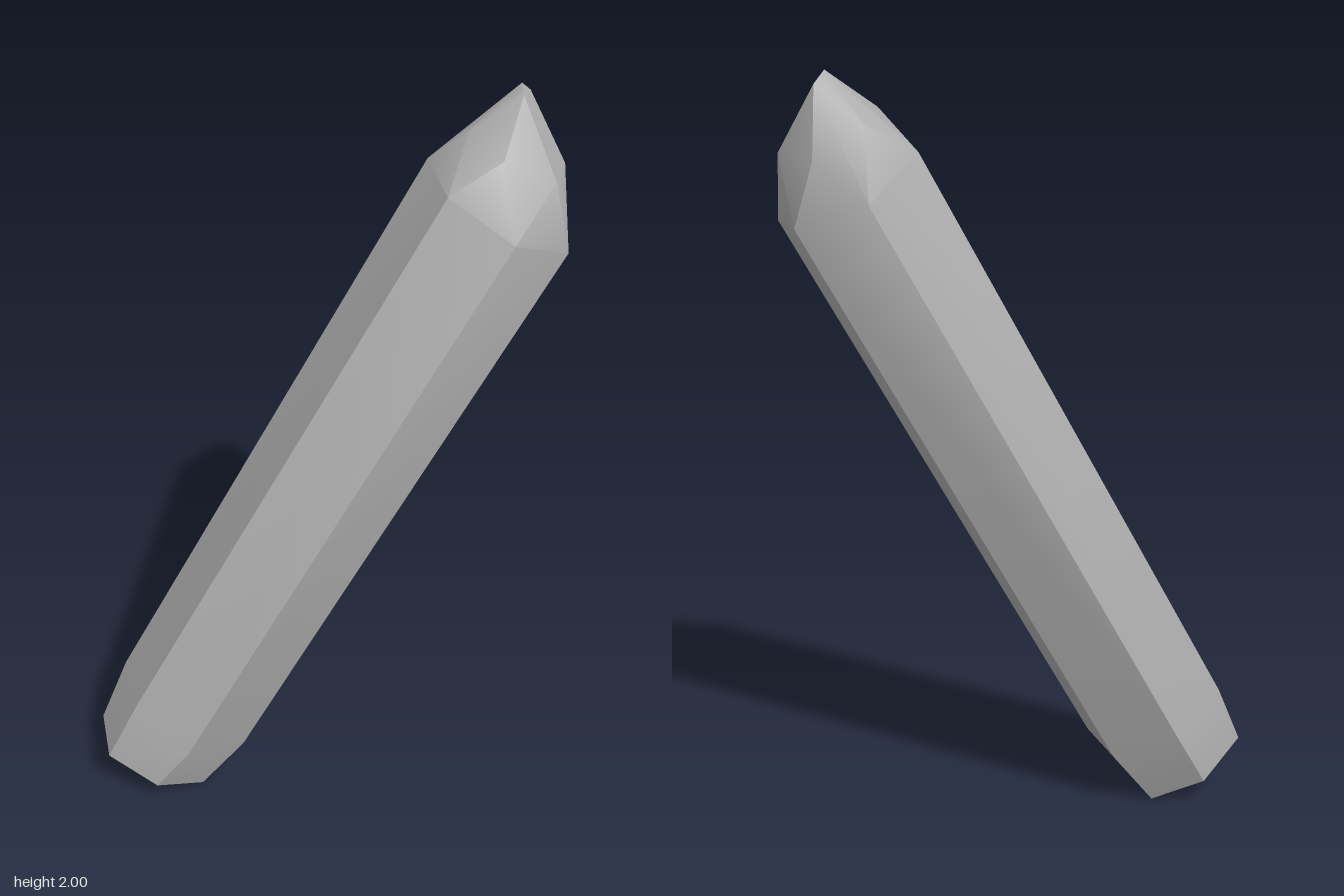
import * as THREE from 'three';
import { ConvexGeometry } from 'three/addons/geometries/ConvexGeometry.js';
import { toCreasedNormals } from 'three/addons/utils/BufferGeometryUtils.js';

export function createModel() {
  const group = new THREE.Group();
  group.name = 'crystal';
  const stone = new THREE.MeshStandardMaterial({ color: 0xb0b0b0 });
  stone.name = 'grey stone';

  // Slanted hexagonal shaft: each edge is a rail [offset x, offset z, low y, high y]
  const rails = [
    [-0.216, -0.002, 0.33, 1.80],
    [-0.09, 0.171, 0.22, 1.71],
    [0.13, 0.185, 0.15, 1.635],
    [0.216, 0.002, 0.16, 1.64],
    [0.09, -0.171, 0.24, 1.70],
    [-0.13, -0.185, 0.32, 1.81],
  ];
  const points = [];
  for (const [x, z, low, high] of rails) {
    for (const y of [low, high]) {
      points.push(new THREE.Vector3(-0.443 + x + 0.491 * y, y, -0.246 + z + 0.255 * y));
    }
  }

  // Bevelled foot: tilted hexagonal end
  const foot = [
    [-0.57, 0.15, -0.21], [-0.49, 0.08, -0.09], [-0.34, 0, -0.09],
    [-0.27, 0, -0.24], [-0.35, 0.07, -0.36], [-0.5, 0.15, -0.36],
  ];
  // Cut tip: ring of facet corners and the small summit
  const tip = [
    [0.345, 1.91, 0.14], [0.34, 1.88, 0.27], [0.45, 1.82, 0.335],
    [0.56, 1.81, 0.25], [0.56, 1.80, 0.12], [0.455, 1.88, 0.06],
    [0.485, 2, 0.16], [0.455, 1.99, 0.2], [0.525, 1.97, 0.15],
  ];
  for (const p of [...foot, ...tip]) points.push(new THREE.Vector3(...p));

  // Facets wrap the corners; shallow bevels blend, sharp edges stay crisp
  const geometry = toCreasedNormals(new ConvexGeometry(points), 0.6);
  const mesh = new THREE.Mesh(geometry, stone);
  mesh.name = 'crystalShard';
  group.add(mesh);
  return group;
}
